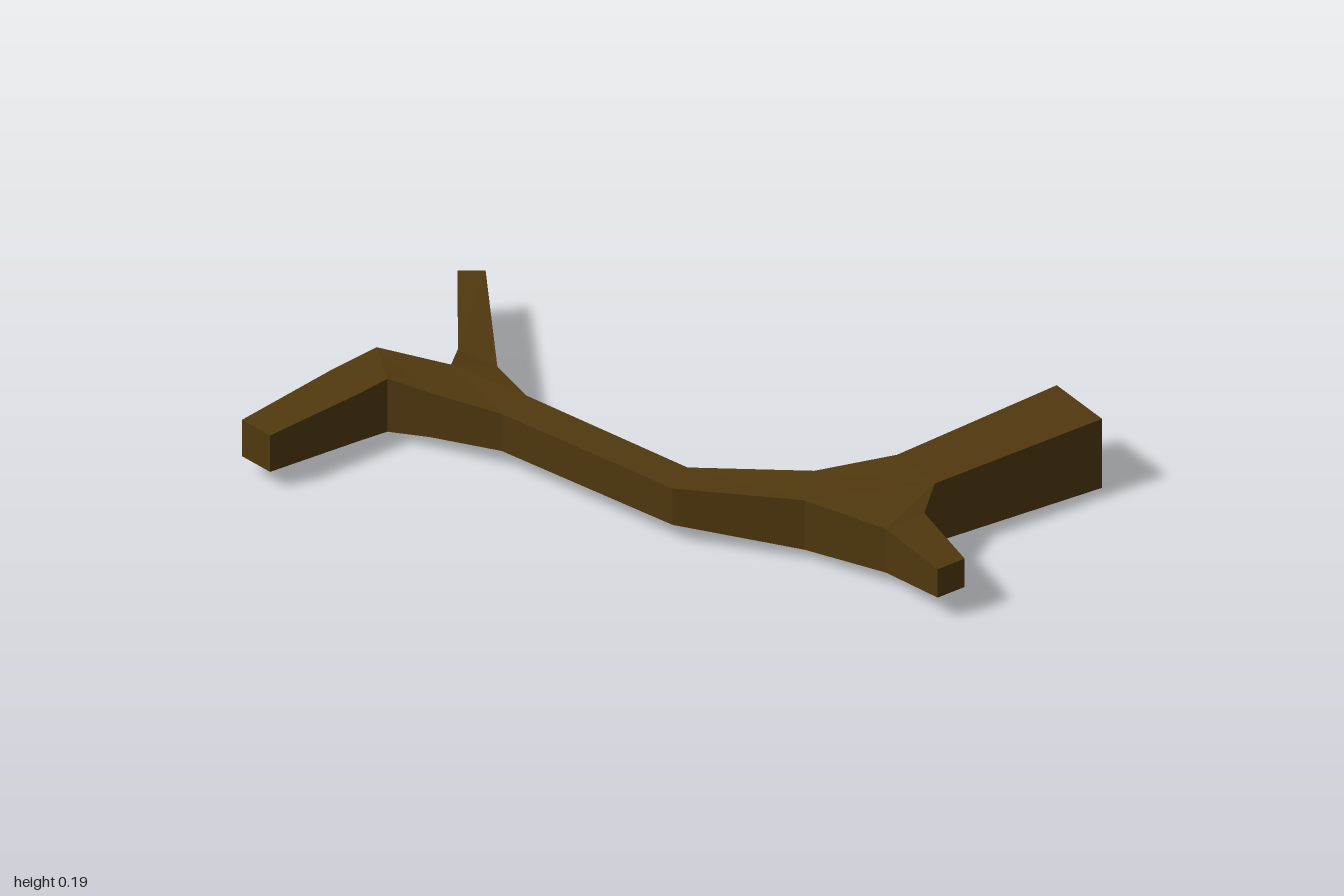
import * as THREE from 'three';

const MID_Y = 0.095;

// Sweeps a rectangular section along stations [leftX, leftZ, rightX, rightZ, halfHeightLeft, halfHeightRight]
function limb(name, stations, material, capStart) {
  const rings = stations.map(([lx, lz, rx, rz, hl, hr = hl]) => [
    [lx, MID_Y + hl, lz], [rx, MID_Y + hr, rz], [rx, MID_Y - hr, rz], [lx, MID_Y - hl, lz],
  ]);
  const pos = [];
  const quad = (a, b, c, d) => pos.push(...a, ...b, ...c, ...a, ...c, ...d);
  for (let i = 0; i < rings.length - 1; i++) {
    const p = rings[i], q = rings[i + 1];
    for (let k = 0; k < 4; k++) {
      const n = (k + 1) % 4;
      quad(p[k], p[n], q[n], q[k]);
    }
  }
  quad(...rings[rings.length - 1]);
  if (capStart) quad(...[...rings[0]].reverse());
  const geometry = new THREE.BufferGeometry();
  geometry.setAttribute('position', new THREE.Float32BufferAttribute(pos, 3));
  geometry.computeVertexNormals();
  const mesh = new THREE.Mesh(geometry, material);
  mesh.name = name;
  return mesh;
}

export function createModel() {
  const bark = new THREE.MeshStandardMaterial({ color: 0x51390f });
  bark.name = 'dark bark';
  const group = new THREE.Group();
  group.name = 'branch';

  // Winding main stem, thin end to thick end
  group.add(limb('mainStem', [
    [-1, 0.01 - 0.02, -0.936, 0.06, 0.05],
    [-0.79, -0.195, -0.717, -0.1, 0.066],
    [-0.68, -0.283, -0.658, -0.145, 0.073],
    [-0.508, -0.222, -0.56, -0.1, 0.061],
    [-0.337, -0.1, -0.395, -0.02, 0.051],
    [0.032, 0.222, -0.005, 0.313, 0.05],
    [0.326, 0.272, 0.3, 0.4, 0.068],
    [0.52, 0.227, 0.604, 0.355, 0.081],
    [0.898, -0.045, 1, 0.104, 0.095],
  ], bark, true));

  // Long side branch pointing back
  group.add(limb('backBranch', [
    [-0.508, -0.222, -0.337, -0.1, 0.061, 0.051],
    [-0.49, -0.31, -0.4, -0.23, 0.048],
    [-0.482, -0.67, -0.417, -0.67, 0.036],
  ], bark, false));

  // Short twig pointing forward
  group.add(limb('frontTwig', [
    [0.604, 0.355, 0.3, 0.4, 0.081, 0.068],
    [0.578, 0.45, 0.487, 0.517, 0.06],
    [0.668, 0.617, 0.604, 0.662, 0.039],
  ], bark, false));

  return group;
}
